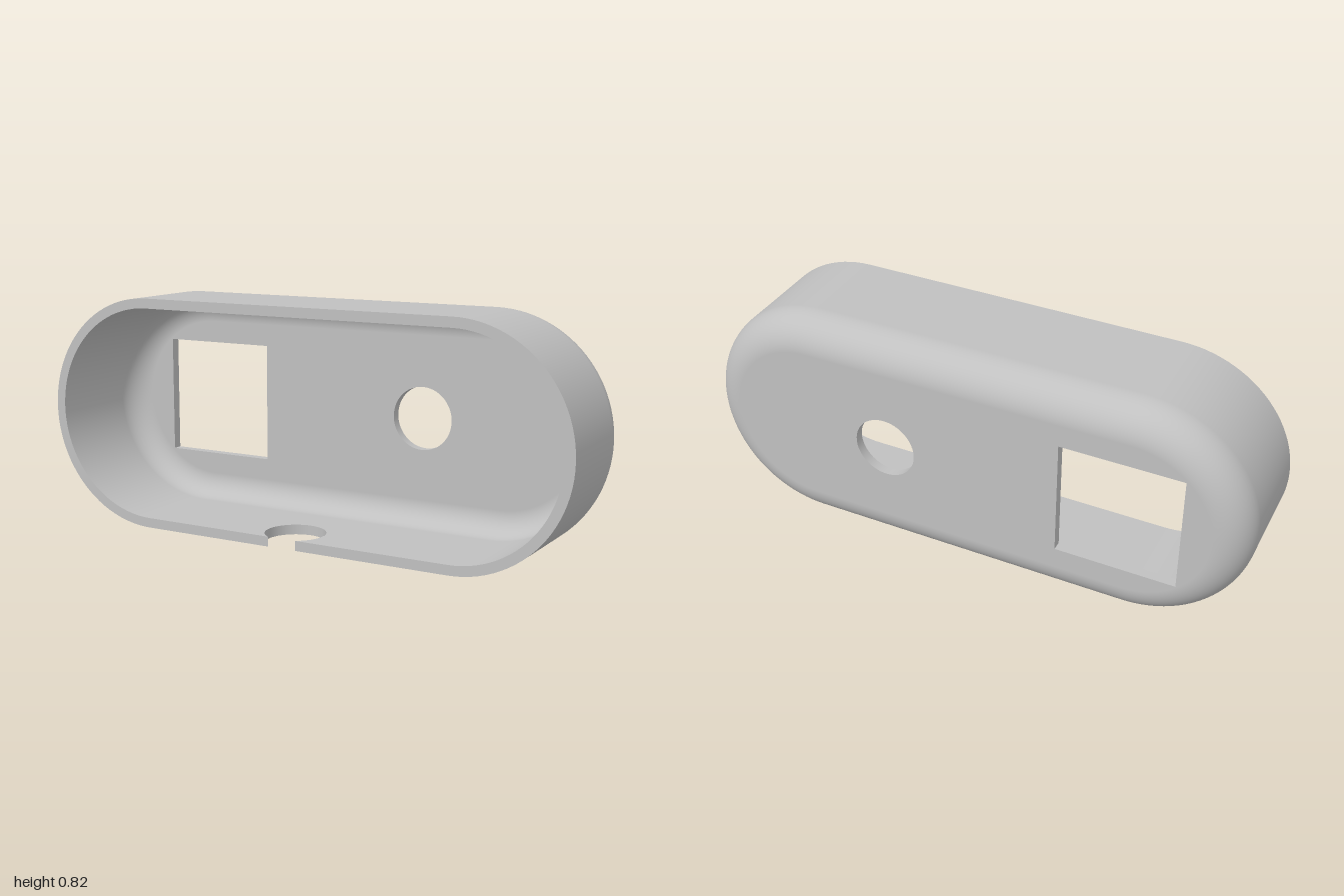
import * as THREE from 'three';

const R = 0.4125, L = 0.5875;            // end radius, half length of the straight sides
const FRONT = 0.228, BACK = -0.228;
const WALL = 0.035, FILLET = 0.12;
const BEND = BACK + FILLET;              // depth where the rounded back edge begins
const notch = { x: -0.032, r: 0.107, a: Math.PI / 6 };
notch.z = FRONT - notch.r * Math.cos(notch.a);
notch.h = notch.r * Math.sin(notch.a);

// Path around the rounded ends and top, starting and ending at the bottom
function outline(steps = 48) {
  const path = [];
  for (const side of [1, -1]) {
    for (let i = 0; i <= steps; i++) {
      path.push({ cx: side * L, a: (side > 0 ? -0.5 : 0.5) * Math.PI + Math.PI * i / steps });
    }
  }
  return path;
}

// Sweep a profile of [inset, z, radial normal, z normal] along the path
function sweep(path, profile) {
  const pos = [], nor = [], idx = [], n = profile.length;
  path.forEach(({ cx, a }, i) => {
    const c = Math.cos(a), s = Math.sin(a);
    profile.forEach(([inset, z, nr, nz], j) => {
      pos.push(cx + c * (R - inset), R + s * (R - inset), z);
      nor.push(c * nr, s * nr, nz);
      if (i && j) {
        const p = (i - 1) * n + j - 1, q = p + n;
        idx.push(p, p + 1, q, q, p + 1, q + 1);
      }
    });
  });
  const g = new THREE.BufferGeometry();
  g.setAttribute('position', new THREE.Float32BufferAttribute(pos, 3));
  g.setAttribute('normal', new THREE.Float32BufferAttribute(nor, 3));
  g.setIndex(idx);
  return g;
}

// Quarter-round profile; sign 1 for the outside, -1 for the inside
function quarterRound(r, sign, steps = 16) {
  const rows = [];
  for (let i = 0; i <= steps; i++) {
    const t = Math.PI / 2 * i / steps;
    rows.push([FILLET - r * Math.cos(t), BEND - r * Math.sin(t), sign * Math.cos(t), -sign * Math.sin(t)]);
  }
  return sign > 0 ? rows : rows.reverse();
}

export function createModel() {
  const group = new THREE.Group();
  const grey = new THREE.MeshStandardMaterial({ color: 0xc0c0c0, side: THREE.DoubleSide });
  grey.name = 'grey plastic';
  const add = (name, geometry, x = 0, y = 0, z = 0) => {
    const mesh = new THREE.Mesh(geometry, grey);
    mesh.name = name;
    mesh.position.set(x, y, z);
    group.add(mesh);
  };

  const open = outline();
  const closed = [...open, open[0]];

  // Side walls (ends and top) and rounded back edge
  add('outerWall', sweep(open, [[0, FRONT, 1, 0], [0, BEND, 1, 0]]));
  add('innerWall', sweep(open, [[WALL, BEND, -1, 0], [WALL, FRONT, -1, 0]]));
  add('outerRoundedEdge', sweep(closed, quarterRound(FILLET, 1)));
  add('innerRoundedEdge', sweep(closed, quarterRound(FILLET - WALL, -1)));

  // Front rim, broken by the cable notch
  const down = -Math.PI / 2;
  const rimPath = [{ cx: notch.x + notch.h, a: down }, ...open, { cx: notch.x - notch.h, a: down }];
  add('frontRim', sweep(rimPath, [[WALL, FRONT, 0, 1], [0, FRONT, 0, 1]]));

  // Bottom wall with the round cable notch
  const floor = new THREE.Shape();
  floor.moveTo(-L, BEND);
  floor.lineTo(L, BEND);
  floor.lineTo(L, FRONT);
  floor.lineTo(notch.x + notch.h, FRONT);
  floor.absarc(notch.x, notch.z, notch.r, Math.PI / 2 - notch.a, Math.PI / 2 + notch.a, true);
  floor.lineTo(-L, FRONT);
  floor.closePath();
  const floorFace = new THREE.ShapeGeometry(floor, 48).rotateX(Math.PI / 2);
  add('bottomOutside', floorFace);
  add('bottomInside', floorFace, 0, WALL);
  add('notchEdge', new THREE.CylinderGeometry(notch.r, notch.r, WALL, 48, 1, true,
    notch.a, 2 * Math.PI - 2 * notch.a), notch.x, WALL / 2, notch.z);

  // Back panel with a square window and a round hole
  const r = R - FILLET, half = 0.214, wx = -0.566, hx = 0.289, hr = 0.112;
  const panel = new THREE.Shape();
  panel.absarc(L, R, r, -Math.PI / 2, Math.PI / 2, false);
  panel.absarc(-L, R, r, Math.PI / 2, Math.PI * 1.5, false);
  const square = new THREE.Path();
  square.moveTo(wx - half, R - half);
  square.lineTo(wx - half, R + half);
  square.lineTo(wx + half, R + half);
  square.lineTo(wx + half, R - half);
  square.closePath();
  const round = new THREE.Path().absarc(hx, R, hr, 0, Math.PI * 2, true);
  panel.holes.push(square, round);
  const panelFace = new THREE.ShapeGeometry(panel, 48);
  add('backPanelInside', panelFace, 0, 0, BACK + WALL);
  add('backPanelOutside', panelFace.clone().rotateY(Math.PI).scale(-1, 1, 1), 0, 0, BACK);

  // Edges of the two openings
  const mid = BACK + WALL / 2;
  add('roundHoleEdge', new THREE.CylinderGeometry(hr, hr, WALL, 64, 1, true).rotateX(Math.PI / 2), hx, R, mid);
  const d = half * Math.SQRT2;
  const windowEdge = new THREE.CylinderGeometry(d, d, WALL, 4, 1, true)
    .rotateY(Math.PI / 4).rotateX(Math.PI / 2).toNonIndexed();
  windowEdge.computeVertexNormals();
  add('windowEdge', windowEdge, wx, R, mid);

  return group;
}
